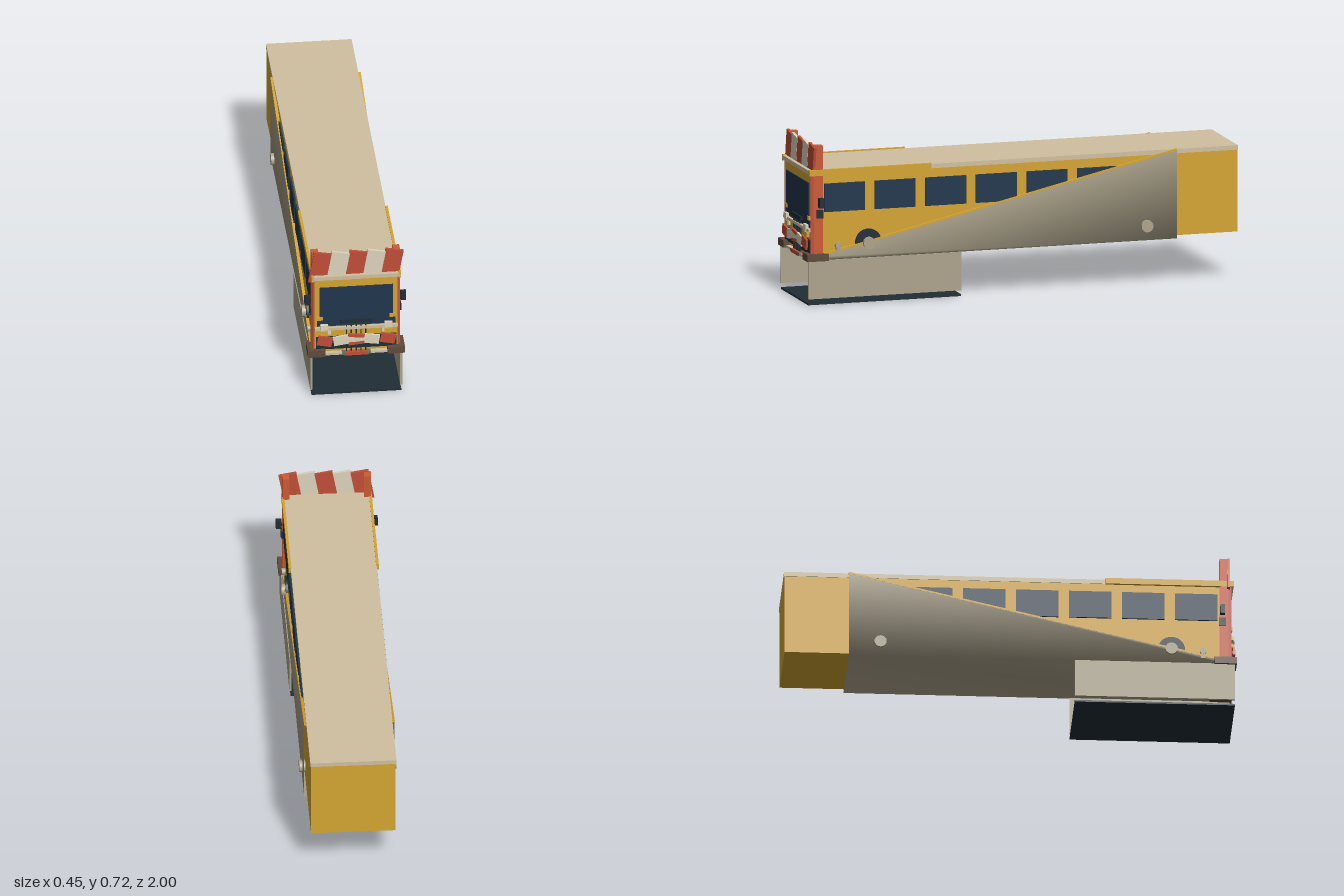
import * as THREE from 'three';

const mat = (color) => new THREE.MeshStandardMaterial({ color });
const M = {
  yellow: mat(0xd4a531), tan: mat(0xd0c0a0), beige: mat(0xada48c), cream: mat(0xdcd4bc),
  red: mat(0xbf4f38), orange: mat(0xcc5a35), glass: mat(0x1f364d), dark: mat(0x1f2d35),
  brown: mat(0x5f4b3c), teal: mat(0x4a7d70),
};
const hullMat = new THREE.MeshStandardMaterial({ color: 0xada48c, side: THREE.DoubleSide });

export function createModel() {
  const group = new THREE.Group();
  const add = (name, geometry, material, x = 0, y = 0, z = 0) => {
    const mesh = new THREE.Mesh(geometry, material);
    mesh.name = name;
    mesh.position.set(x, y, z);
    group.add(mesh);
    return mesh;
  };
  // box given by its extents on each axis
  const box = (name, material, x0, x1, y0, y1, z0, z1) =>
    add(name, new THREE.BoxGeometry(x1 - x0, y1 - y0, z1 - z0), material,
      (x0 + x1) / 2, (y0 + y1) / 2, (z0 + z1) / 2);
  // the same box on both sides
  const pair = (name, material, x0, x1, ...rest) => {
    box(name + 'Left', material, x0, x1, ...rest);
    box(name + 'Right', material, -x1, -x0, ...rest);
  };

  // body and roof
  box('body', M.yellow, -0.187, 0.187, 0.212, 0.582, -0.998, 0.972);
  box('roof', M.tan, -0.19, 0.19, 0.58, 0.6, -1, 0.978);
  box('roofFrontBeam', M.tan, -0.197, 0.197, 0.584, 0.602, 0.96, 0.985);
  pair('roofRail', M.yellow, 0.187, 0.199, 0.578, 0.605, 0.42, 0.985);

  // side windows
  for (let i = 0; i < 6; i++) {
    const z = 0.82 - i * 0.234;
    pair('sideWindow' + i, M.glass, 0.18, 0.195, 0.413, 0.54, z - 0.094, z + 0.094);
  }

  // lower hull: a U-shaped skin rising towards the back
  const zBack = -0.715, zFront = 0.95, yBack = 0.597, yFront = 0.215, hx = 0.2, hy = 0.2;
  const section = (z, top) => [hx, top, z, hx, hy, z, -hx, hy, z, -hx, top, z];
  const hull = new THREE.BufferGeometry();
  hull.setAttribute('position', new THREE.Float32BufferAttribute(
    [...section(zBack, yBack), ...section(zFront, yFront)], 3));
  const index = [];
  for (let i = 0; i < 3; i++) index.push(i, i + 4, i + 1, i + 1, i + 4, i + 5);
  // outward winding
  for (let i = 0; i < index.length; i += 3) [index[i + 1], index[i + 2]] = [index[i + 2], index[i + 1]];
  hull.setIndex(index);
  const n = new THREE.Vector3().subVectors(new THREE.Vector3(hx, hy, zBack), new THREE.Vector3(hx, yBack, zBack))
    .cross(new THREE.Vector3(0, yFront - yBack, zFront - zBack));
  if (n.x < 0) index.reverse(), hull.setIndex(index);
  hull.computeVertexNormals();
  add('hull', hull, hullMat);

  // yellow trim along the sloping hull edge
  const run = zFront - zBack, rise = yBack - yFront;
  for (const s of [1, -1]) {
    const trim = add('hullTrim', new THREE.BoxGeometry(0.013, 0.008, Math.hypot(run, rise)), M.yellow,
      s * 0.194, (yBack + yFront) / 2 + 0.002, (zBack + zFront) / 2);
    trim.rotation.x = Math.atan2(rise, run);
  }

  // wheels and hubs
  const disc = (name, material, r, x0, x1, y, z) => {
    for (const s of [1, -1]) {
      const d = add(name, new THREE.CylinderGeometry(r, r, x1 - x0, 28), material, s * (x0 + x1) / 2, y, z);
      d.rotation.z = Math.PI / 2;
    }
  };
  disc('tyre', M.dark, 0.06, 0.17, 0.197, 0.267, 0.71);
  disc('frontHub', M.beige, 0.027, 0.18, 0.214, 0.265, 0.71);
  disc('rearHub', M.beige, 0.027, 0.18, 0.214, 0.265, -0.575);
  disc('smallKnob', M.beige, 0.014, 0.18, 0.204, 0.26, 0.85);
  pair('knobStem', M.beige, 0.18, 0.202, 0.225, 0.26, 0.84, 0.86);

  // lower skirts and floor plate
  pair('skirt', M.beige, 0.194, 0.204, 0.027, 0.2, 0.283, 0.99);
  box('floorPlate', M.dark, -0.199, 0.199, 0, 0.008, 0.283, 0.99);

  // corner posts and the slanted striped crest
  pair('cornerPost', M.orange, 0.165, 0.196, 0.22, 0.713, 0.922, 0.962);
  pair('frontEdge', M.red, 0.184, 0.191, 0.21, 0.58, 0.95, 0.976);
  for (let i = 0; i < 5; i++) {
    const stripe = add('crestStripe' + i, new THREE.BoxGeometry(0.08, 0.153, 0.012),
      i % 2 ? M.cream : M.red, -0.159 + i * 0.0795, 0.638, 0.962 + (i % 2) * 0.001);
    stripe.rotation.z = -0.175;
  }

  // windscreen and mirrors
  box('windscreen', M.glass, -0.163, 0.163, 0.375, 0.541, 0.965, 0.977);
  box('windscreenBase', M.glass, -0.174, 0.174, 0.343, 0.376, 0.965, 0.977);
  pair('windscreenCorner', M.yellow, 0.147, 0.173, 0.375, 0.393, 0.965, 0.98);
  box('wiperBox', M.dark, -0.071, 0.071, 0.357, 0.374, 0.97, 0.985);
  pair('mirror', M.dark, 0.2, 0.225, 0.437, 0.48, 0.925, 0.945);
  pair('mirrorArm', M.dark, 0.19, 0.203, 0.388, 0.425, 0.92, 0.95);
  pair('mirrorBracket', M.dark, 0.185, 0.21, 0.45, 0.462, 0.93, 0.94);

  // front bar, lamps and grille
  box('frontBar', M.tan, -0.184, 0.184, 0.325, 0.338, 0.97, 0.985);
  pair('headlamp', M.cream, 0.125, 0.16, 0.329, 0.355, 0.97, 0.991);
  pair('indicator', M.yellow, 0.125, 0.16, 0.3, 0.319, 0.97, 0.985);
  pair('smallLamp', M.cream, 0.113, 0.126, 0.303, 0.323, 0.97, 0.983);
  box('grillePanel', M.dark, -0.178, 0.178, 0.225, 0.288, 0.965, 0.978);
  for (let i = -2; i <= 2; i++)
    box('grilleBar', M.dark, i * 0.0215 - 0.0025, i * 0.0215 + 0.0025, 0.212, 0.345, 0.97, 0.982);

  // zigzag striped board: x, y, width, height, tilt, material
  for (const [x, y, w, h, tilt, m] of [
    [-0.14, 0.273, 0.066, 0.046, -0.21, M.red], [-0.068, 0.273, 0.068, 0.044, 0.15, M.cream],
    [0, 0.294, 0.07, 0.014, -0.12, M.red], [0, 0.257, 0.07, 0.014, 0.1, M.red],
    [0, 0.276, 0.074, 0.026, 0, M.cream],
    [0.068, 0.273, 0.068, 0.044, -0.15, M.cream], [0.14, 0.273, 0.066, 0.046, -0.21, M.red],
  ]) {
    const plate = add('boardStripe', new THREE.BoxGeometry(w, h, 0.01), m, x, y, m === M.red ? 0.988 : 0.987);
    plate.rotation.z = tilt;
  }

  // bumper
  box('bumperBar', M.tan, -0.14, 0.14, 0.197, 0.208, 0.95, 0.985);
  pair('bumperCorner', M.brown, 0.138, 0.215, 0.197, 0.229, 0.9, 0.998);
  box('bumperPlate', M.red, -0.053, 0.053, 0.195, 0.211, 0.96, 0.992);
  pair('bumperPlateEnd', M.teal, 0.053, 0.064, 0.198, 0.209, 0.96, 0.99);

  return group;
}
